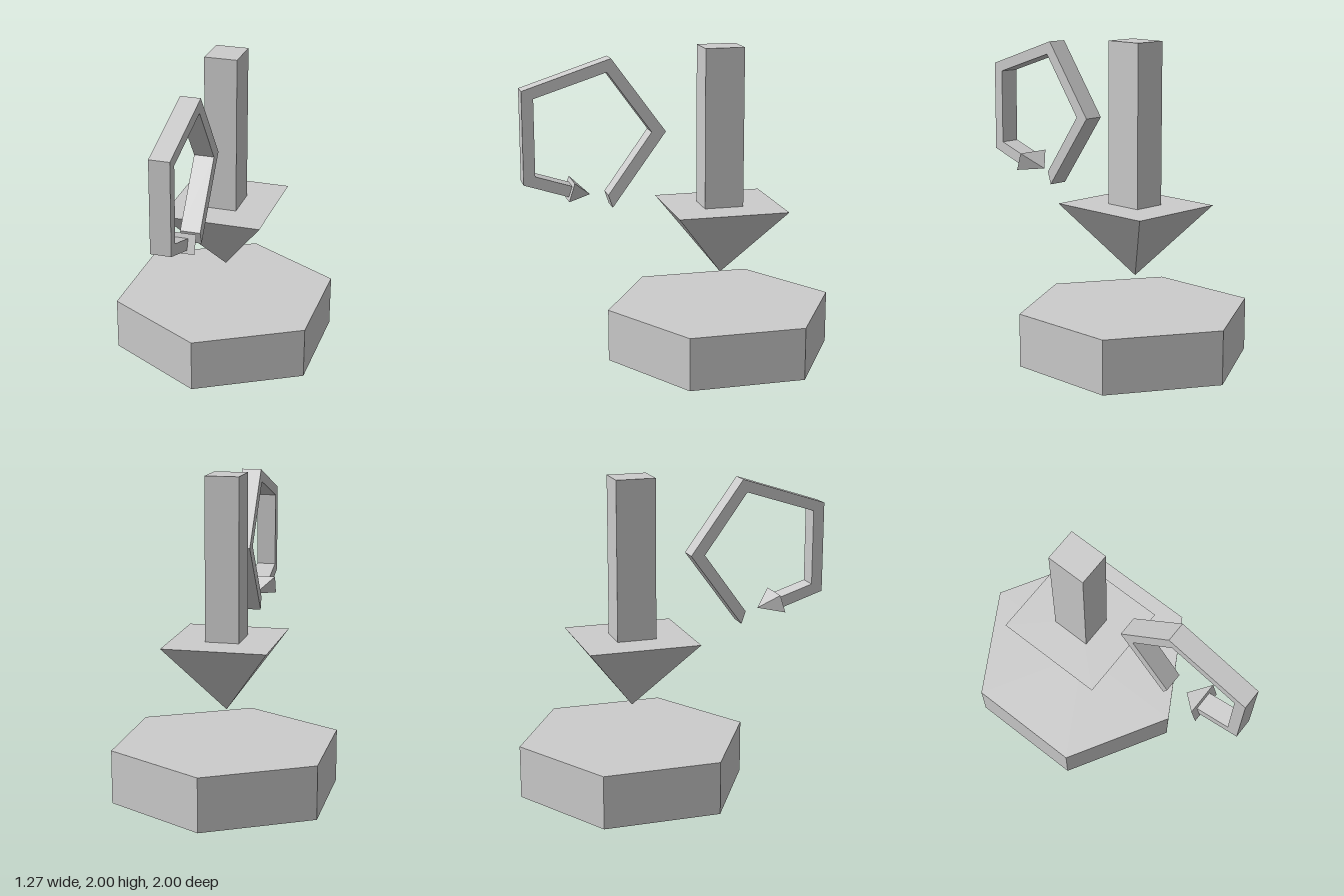
import * as THREE from 'three';

const material = new THREE.MeshStandardMaterial({ color: 0xcccccc, flatShading: true });

function addPart(group, name, geometry, x, y, z) {
  const mesh = new THREE.Mesh(geometry, material);
  mesh.name = name;
  mesh.position.set(x, y, z);
  group.add(mesh);
  return mesh;
}

// Square pyramid pointing up, centred, with given base half-widths
function pyramid(halfX, halfZ, height) {
  return new THREE.ConeGeometry(Math.SQRT2, height, 4).rotateY(Math.PI / 4).scale(halfX, 1, halfZ);
}

export function createModel() {
  const model = new THREE.Group();
  const axisZ = -0.26;

  // Hexagonal base with corners to the front and back
  addPart(model, 'base', new THREE.CylinderGeometry(0.736, 0.736, 0.337, 6), 0, 0.1685, axisZ);

  // Large arrow pointing down at the base
  const arrow = new THREE.Group();
  arrow.name = 'downArrow';
  addPart(arrow, 'downArrowShaft', new THREE.BoxGeometry(0.21, 1.01, 0.25), 0, 1.495, axisZ + 0.003);
  addPart(arrow, 'downArrowHead', pyramid(0.323, 0.352, 0.452).rotateX(Math.PI), 0, 0.764, axisZ - 0.003);
  model.add(arrow);

  // Open pentagonal band of the turning arrow, outlined as (z, y)
  const turn = new THREE.Group();
  turn.name = 'turnArrow';
  const outline = [
    [0.45, 1.025], [0.11, 1.49], [0.45, 1.955], [1, 1.777], [1, 1.2], [0.724, 1.11],
    [0.702, 1.177], [0.928, 1.25], [0.928, 1.728], [0.477, 1.872], [0.2, 1.49], [0.477, 1.106],
  ].map(([z, y]) => new THREE.Vector2(z, y));
  const band = new THREE.ExtrudeGeometry(new THREE.Shape(outline), { depth: 0.126, bevelEnabled: false });
  band.translate(0, 0, -0.063).rotateY(-Math.PI / 2);
  addPart(turn, 'turnArrowBand', band, 0, 0, 0);

  // Small head, aimed from its base centre to its tip
  const from = new THREE.Vector3(0, 1.147, 0.712);
  const tip = new THREE.Vector3(0, 1.105, 0.581);
  const centre = from.clone().lerp(tip, 0.5);
  const head = addPart(turn, 'turnArrowHead', pyramid(0.11, 0.06, from.distanceTo(tip)), 0, centre.y, centre.z);
  head.rotation.x = Math.atan2(tip.z - from.z, tip.y - from.y);
  model.add(turn);

  return model;
}
